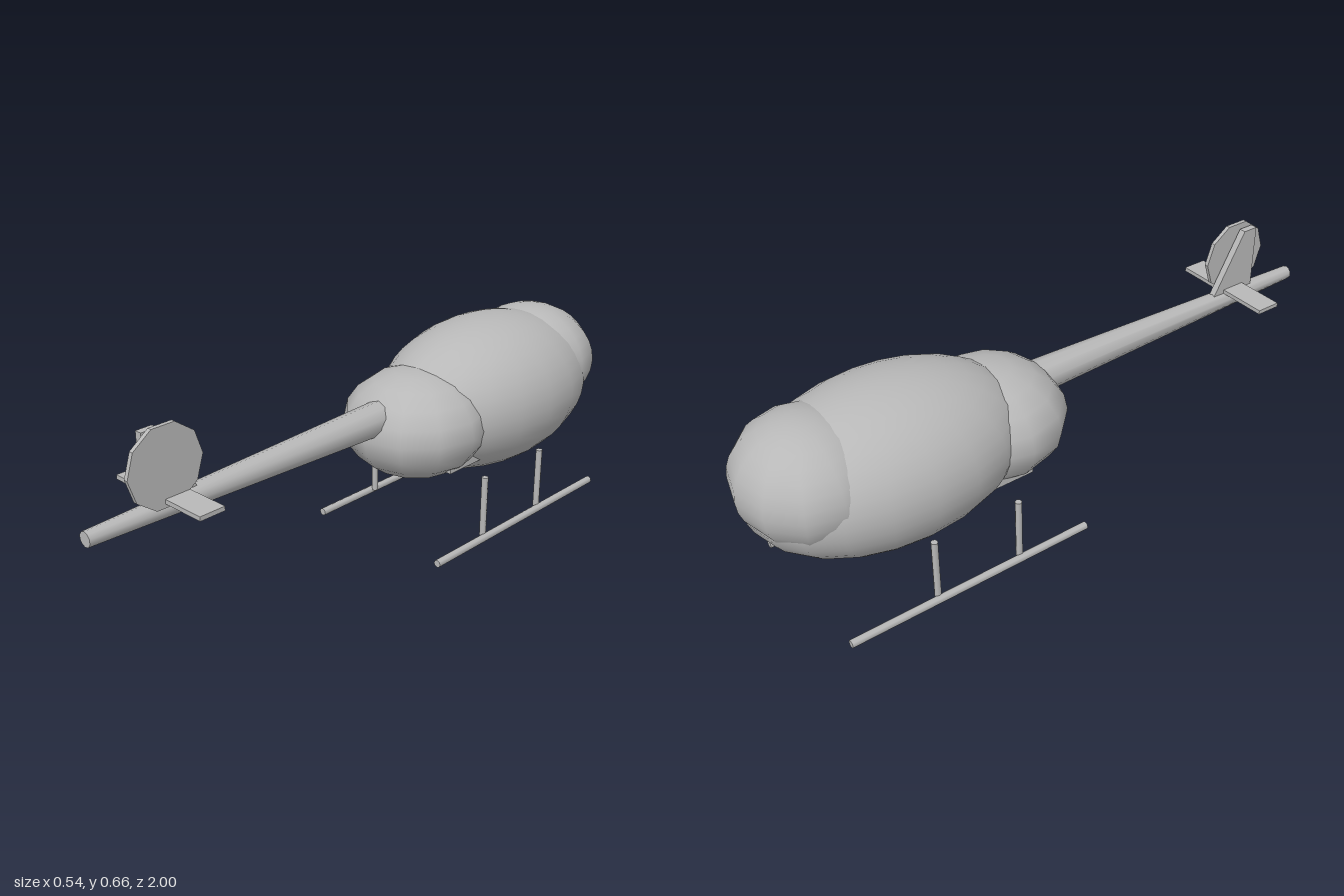
import * as THREE from 'three';

export function createModel() {
  const model = new THREE.Group();
  const grey = new THREE.MeshStandardMaterial({ color: 0xb8b8b8 });
  grey.name = 'grey';

  const add = (name, geometry, x, y, z) => {
    const mesh = new THREE.Mesh(geometry, grey);
    mesh.name = name;
    mesh.position.set(x, y, z);
    model.add(mesh);
    return mesh;
  };

  // Fuselage: three overlapping ellipsoids
  const ellipsoid = (name, pos, radii, ws, hs) =>
    add(name, new THREE.SphereGeometry(1, ws, hs), ...pos).scale.set(...radii);
  ellipsoid('cabin', [0, 0.373, -0.55], [0.272, 0.243, 0.43], 20, 20);
  ellipsoid('noseCanopy', [0, 0.42, -0.79], [0.22, 0.18, 0.207], 12, 16);
  ellipsoid('engineFairing', [0, 0.357, -0.215], [0.23, 0.17, 0.235], 12, 10);

  // Tapered tail boom, thin end at +z
  const boom = new THREE.CylinderGeometry(0.022, 0.053, 1.05, 10);
  boom.rotateX(Math.PI / 2);
  add('tailBoom', boom, 0, 0.418, 0.475);

  // Tail rotor disc beside the fin
  const disc = new THREE.CylinderGeometry(0.118, 0.118, 0.013, 10).toNonIndexed();
  disc.computeVertexNormals();
  disc.rotateZ(Math.PI / 2);
  add('tailRotorDisc', disc, 0.029, 0.546, 0.77);

  // Swept fin, drawn as (-z, y) and turned into the side plane
  const profile = new THREE.Shape([
    [-0.65, 0.43], [-0.77, 0.646], [-0.82, 0.646], [-0.82, 0.43],
  ].map(([u, v]) => new THREE.Vector2(u, v)));
  const fin = new THREE.ExtrudeGeometry(profile, { depth: 0.022, bevelEnabled: false });
  fin.translate(0, 0, -0.011);
  fin.rotateY(Math.PI / 2);
  add('tailFin', fin, 0, 0, 0);

  add('stabilizer', new THREE.BoxGeometry(0.344, 0.013, 0.08), 0, 0.452, 0.74);

  // Cross plate whose corners show under the engine fairing
  add('crossPlate', new THREE.BoxGeometry(0.344, 0.05, 0.16), 0, 0.263, -0.26);

  // Landing gear, mirrored
  for (const side of [-1, 1]) {
    const skid = new THREE.CylinderGeometry(0.012, 0.012, 0.8, 8);
    skid.rotateX(Math.PI / 2);
    add('skid', skid, side * 0.245, 0.012, -0.44);
    for (const z of [-0.275, -0.555]) {
      add('skidStrut', new THREE.CylinderGeometry(0.0105, 0.0105, 0.2, 8), side * 0.232, 0.115, z);
    }
  }
  return model;
}
